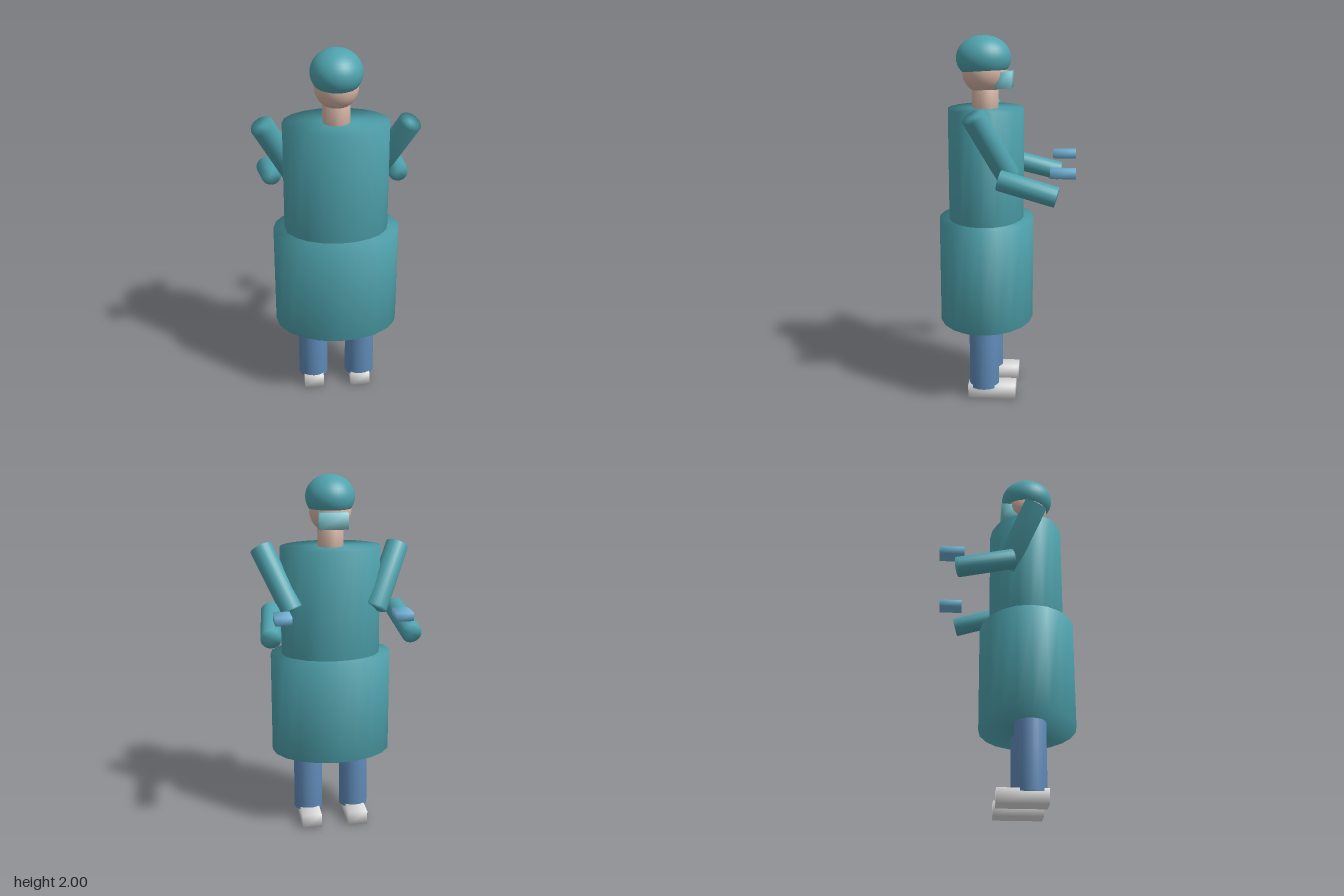
import * as THREE from 'three';
import { mergeVertices } from 'three/addons/utils/BufferGeometryUtils.js';

const mat = (name, color) => {
  const m = new THREE.MeshStandardMaterial({ color });
  m.name = name;
  return m;
};

// Share normals across edges so caps and sides shade as one soft surface
function soften(geometry) {
  geometry.deleteAttribute('normal');
  geometry.deleteAttribute('uv');
  const g = mergeVertices(geometry, 1e-4);
  g.computeVertexNormals();
  return g;
}

export function createModel() {
  const teal = mat('teal cloth', 0x4fa3ae);
  const denim = mat('denim blue', 0x618cba);
  const skin = mat('skin', 0xd8b7a7);
  const glove = mat('glove blue', 0x70b1d4);
  const paleTeal = mat('mask teal', 0x7dc8d2);
  const white = mat('shoe white', 0xdedede);

  const group = new THREE.Group();
  const add = (name, geometry, material, x, y, z) => {
    const mesh = new THREE.Mesh(geometry, material);
    mesh.name = name;
    mesh.position.set(x, y, z);
    group.add(mesh);
    return mesh;
  };

  // Upright elliptical cylinder between two heights
  const column = (name, material, rx, rz, y0, y1, x, z, sides = 20) =>
    add(name, soften(new THREE.CylinderGeometry(1, 1, y1 - y0, sides).scale(rx, 1, rz)),
      material, x, (y0 + y1) / 2, z);

  const ellipsoid = (name, material, rx, ry, rz, x, y, z) =>
    add(name, new THREE.SphereGeometry(1, 32, 20).scale(rx, ry, rz), material, x, y, z);

  const box = (name, material, w, h, d, x, y, z) =>
    add(name, soften(new THREE.BoxGeometry(w, h, d)), material, x, y, z);

  // Capped cylinder running from point a to point b
  const limb = (name, material, a, b, r) => {
    const from = new THREE.Vector3(...a), to = new THREE.Vector3(...b);
    const dir = to.clone().sub(from);
    const mid = from.clone().add(to).multiplyScalar(0.5);
    const mesh = add(name, soften(new THREE.CylinderGeometry(r, r, dir.length(), 20)),
      material, mid.x, mid.y, mid.z);
    mesh.quaternion.setFromUnitVectors(new THREE.Vector3(0, 1, 0), dir.normalize());
  };

  // Gown
  column('gownTop', teal, 0.28, 0.206, 0.98, 1.615, 0, 0.115);
  column('gownSkirt', teal, 0.341, 0.26, 0.435, 1.013, 0, 0.115);

  // Head
  column('neck', skin, 0.072, 0.072, 1.58, 1.75, 0, 0.118);
  ellipsoid('head', skin, 0.115, 0.12, 0.122, 0, 1.808, 0.121);
  ellipsoid('cap', teal, 0.135, 0.12, 0.148, 0, 1.88, 0.127);
  box('faceMask', paleTeal, 0.154, 0.088, 0.09, 0, 1.765, 0.017);

  // Legs, shoes, arms and gloves on both sides
  for (const [side, s] of [['left', 1], ['right', -1]]) {
    column(side + 'Leg', denim, 0.083, 0.083, 0.064, 0.6, s * 0.134, 0.118);
    box(side + 'Shoe', white, 0.11, 0.08, 0.265, s * 0.134, 0.04, 0.073);
    limb(side + 'UpperArm', teal, [s * 0.38, 1.61, 0.14], [s * 0.23, 1.29, -0.02], 0.063);
    limb(side + 'Forearm', teal, [s * 0.343, 1.283, 0.017], [s * 0.371, 1.205, -0.28], 0.054);
    box(side + 'Glove', glove, 0.087, 0.043, 0.132, s * 0.312, 1.318, -0.31);
  }

  return group;
}
